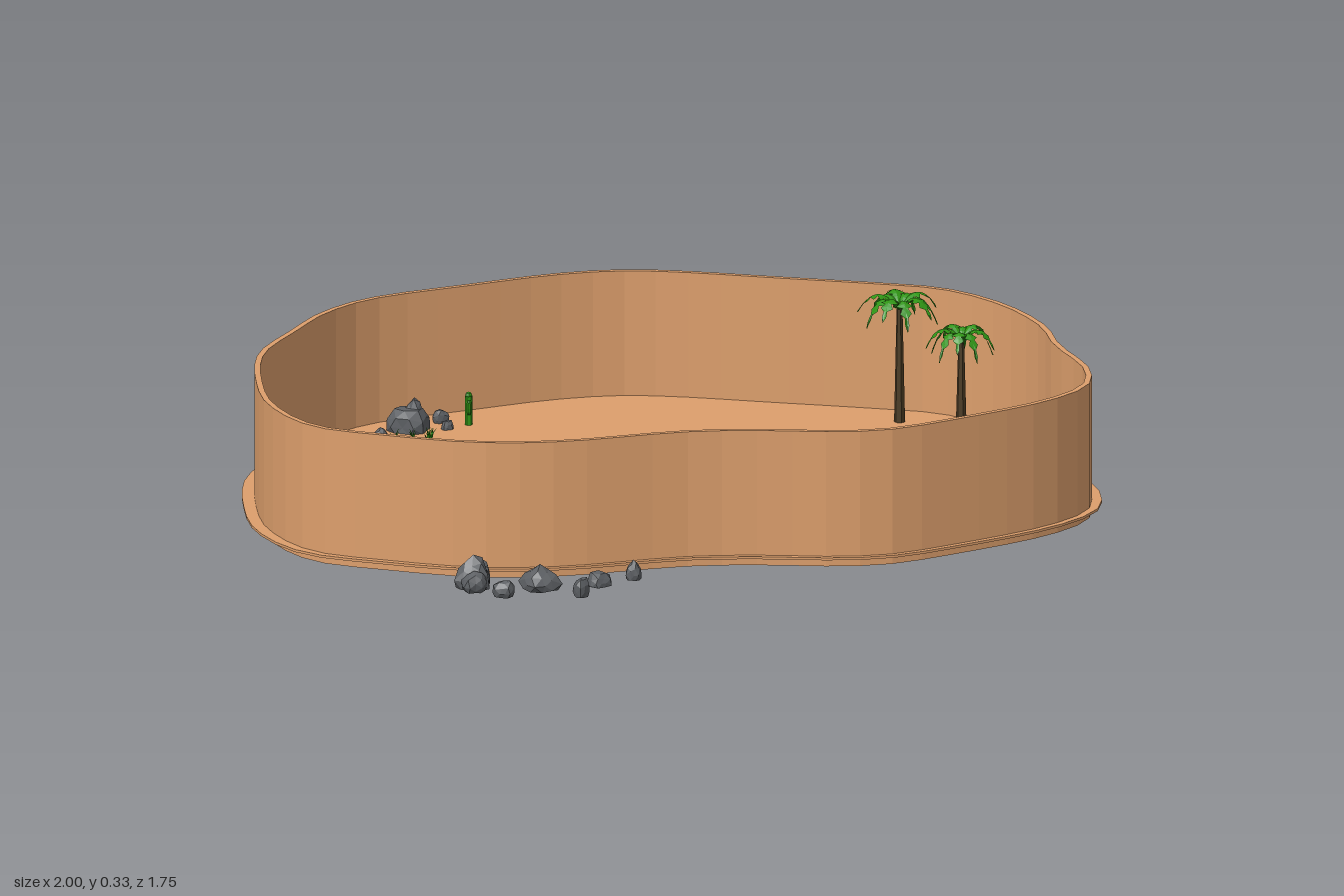
import * as THREE from 'three';

const material = (color, extra = {}) => new THREE.MeshStandardMaterial({ color, ...extra });
const sand = material(0xdd9f6c, { flatShading: true });
const stone = material(0x5c5f63, { flatShading: true });
const leaf = material(0x2f9414, { flatShading: true, side: THREE.DoubleSide });
const bark = material(0x4a3a22, { flatShading: true });

const GROUND = 0.024;

// Plan outline as [x, z], running back, left, front, right
const OUTLINE = [
  [0.06, -0.88], [-0.18, -0.855], [-0.45, -0.81], [-0.6, -0.72], [-0.72, -0.59],
  [-0.86, -0.42], [-0.95, -0.19], [-1, 0.06], [-0.96, 0.27], [-0.82, 0.41],
  [-0.64, 0.54], [-0.45, 0.6], [-0.13, 0.615], [0.03, 0.66], [0.17, 0.72],
  [0.31, 0.75], [0.51, 0.71], [0.78, 0.615], [0.91, 0.51], [0.97, 0.35],
  [0.975, 0.13], [1, -0.05], [0.97, -0.27], [0.88, -0.45], [0.73, -0.56],
  [0.54, -0.68], [0.35, -0.8], [0.22, -0.86],
];
const curve = new THREE.CatmullRomCurve3(OUTLINE.map(([x, z]) => new THREE.Vector3(x, 0, z)), true);

function seeded(seed) {
  return () => {
    seed = (seed * 16807) % 2147483647;
    return seed / 2147483647;
  };
}

function mesh(name, geometry, mat) {
  const m = new THREE.Mesh(geometry, mat);
  m.name = name;
  return m;
}

// Outline moved inward along its normal, in shape space (shape y = -z)
function insetPoints(inset) {
  return Array.from({ length: 72 }, (_, i) => {
    const p = curve.getPointAt(i / 72);
    const t = curve.getTangentAt(i / 72);
    const d = inset(t.x);
    return new THREE.Vector2(p.x + t.z * d, -(p.z - t.x * d));
  });
}

function extrudeUp(shape, depth) {
  return new THREE.ExtrudeGeometry(shape, { depth, bevelEnabled: false }).rotateX(-Math.PI / 2);
}

// Faceted boulder with a flat base
function rock(x, z, radius, height, seed) {
  const rnd = seeded(seed * 7919 + 13);
  const phase = [rnd() * 6, rnd() * 6, rnd() * 6];
  const geo = new THREE.IcosahedronGeometry(1, 1);
  const pos = geo.attributes.position;
  const v = new THREE.Vector3();
  for (let i = 0; i < pos.count; i++) {
    v.fromBufferAttribute(pos, i);
    const bump = 1 + 0.09 * (Math.sin(4 * v.x + phase[0]) + Math.sin(5 * v.z + phase[1]) + Math.sin(3 * v.y + phase[2]));
    v.multiplyScalar(bump);
    v.y = Math.max(v.y, -0.4);
    pos.setXYZ(i, v.x * radius, ((v.y + 0.4) / 1.45) * height, v.z * radius);
  }
  geo.computeVertexNormals();
  const m = mesh('rock', geo, stone);
  m.position.set(x, GROUND - 0.003, z);
  m.rotation.y = rnd() * 6;
  return m;
}

// Arching frond along +x with a toothed edge
function frondGeometry(length, rise, droop) {
  const n = 12, verts = [], index = [];
  for (let i = 0; i <= n; i++) {
    const t = i / n;
    const y = rise * Math.sin(t * Math.PI * 0.75) - droop * t * t;
    const w = length * 0.24 * Math.sin(Math.PI * Math.min(1, t * 0.88 + 0.12)) * (i % 2 ? 1 : 0.4);
    verts.push(length * t, y - w * 0.3, -w, length * t * 0.97, y, 0, length * t, y - w * 0.3, w);
    if (i < n) {
      const a = i * 3;
      for (const k of [a, a + 1]) index.push(k, k + 1, k + 3, k + 1, k + 4, k + 3);
    }
  }
  const geo = new THREE.BufferGeometry();
  geo.setAttribute('position', new THREE.Float32BufferAttribute(verts, 3));
  geo.setIndex(index);
  geo.computeVertexNormals();
  return geo;
}

function palm(x, z, crown, radius, count, turn) {
  const g = new THREE.Group();
  g.name = 'palm';
  const trunk = mesh('palmTrunk', new THREE.CylinderGeometry(0.007, 0.013, crown - GROUND, 6), bark);
  trunk.position.y = (crown + GROUND) / 2;
  g.add(trunk);
  for (let i = 0; i < count; i++) {
    const r = radius * (i % 2 ? 0.9 : 1);
    const frond = mesh('palmFrond', frondGeometry(r, 0.05, i % 2 ? 0.07 : 0.045), leaf);
    frond.position.y = crown;
    frond.rotation.y = turn + (i * 2 * Math.PI) / count;
    g.add(frond);
  }
  g.position.set(x, 0, z);
  return g;
}

// Upright cactus with two bent arms
function cactus(x, z, turn) {
  const g = new THREE.Group();
  g.name = 'cactus';
  const limb = (pts, r) => {
    const path = new THREE.CatmullRomCurve3(pts.map(([a, b]) => new THREE.Vector3(a, b, 0)));
    g.add(mesh('cactusLimb', new THREE.TubeGeometry(path, 6, r, 6), leaf));
    const tip = mesh('cactusTip', new THREE.SphereGeometry(r, 6, 4), leaf);
    tip.position.set(pts.at(-1)[0], pts.at(-1)[1], 0);
    g.add(tip);
  };
  limb([[0, 0], [0, 0.035], [0, 0.07]], 0.009);
  limb([[0, 0.022], [0.02, 0.026], [0.025, 0.055]], 0.006);
  limb([[0, 0.03], [-0.018, 0.034], [-0.024, 0.06]], 0.006);
  g.position.set(x, GROUND, z);
  g.rotation.y = turn;
  return g;
}

// Scattered little blades of grass
function grass(x, z, seed) {
  const g = new THREE.Group();
  g.name = 'grassTuft';
  const rnd = seeded(seed * 331 + 5);
  for (let i = 0; i < 9; i++) {
    const bx = (rnd() - 0.5) * 0.09, bz = (rnd() - 0.5) * 0.07;
    for (let k = 0; k < 3; k++) {
      const h = 0.02 + rnd() * 0.012;
      const blade = mesh('grassBlade', new THREE.ConeGeometry(0.0028, h, 3).translate(0, h / 2, 0), leaf);
      blade.position.set(bx, 0, bz);
      blade.rotation.set((rnd() - 0.5) * 1.1, 0, (rnd() - 0.5) * 1.1);
      g.add(blade);
    }
  }
  g.position.set(x, GROUND, z);
  return g;
}

export function createModel() {
  const model = new THREE.Group();
  model.name = 'desertArena';

  // Sand floor, reaching past the wall as a thin lip
  const floor = mesh('sandFloor', extrudeUp(new THREE.Shape(insetPoints(() => 0)), 0.006), sand);
  floor.position.y = GROUND - 0.006;
  model.add(floor);

  // Perimeter wall; the lip is narrower along the front
  const lip = (front) => 0.029 - 0.016 * Math.max(0, front);
  const wallShape = new THREE.Shape(insetPoints(lip));
  wallShape.holes.push(new THREE.Path(insetPoints((f) => lip(f) + 0.014)));
  model.add(mesh('wall', extrudeUp(wallShape, 0.324), sand));

  // Rocks: x, z, radius, height
  const rocks = [
    [-0.69, 0.69, 0.042, 0.078], [-0.7, 0.725, 0.03, 0.05], [-0.665, 0.67, 0.022, 0.06],
    [-0.548, 0.755, 0.045, 0.058], [-0.65, 0.795, 0.024, 0.04], [-0.41, 0.77, 0.03, 0.036],
    [-0.315, 0.745, 0.019, 0.048], [-0.48, 0.85, 0.02, 0.046],
    [0.56, -0.825, 0.04, 0.078], [0.59, -0.805, 0.028, 0.05], [0.54, -0.8, 0.024, 0.045],
    [0.73, -0.855, 0.026, 0.05], [0.745, -0.695, 0.028, 0.068],
    [-0.365, -0.695, 0.052, 0.06], [-0.35, -0.7, 0.028, 0.085], [-0.275, -0.735, 0.02, 0.035],
    [-0.28, -0.67, 0.015, 0.025], [-0.455, -0.64, 0.018, 0.03],
    [-0.82, -0.105, 0.05, 0.06], [-0.76, -0.157, 0.02, 0.035], [-0.845, -0.045, 0.024, 0.03],
    [-0.8, -0.018, 0.02, 0.025],
    [0.85, 0.275, 0.038, 0.055], [0.815, 0.41, 0.05, 0.085], [0.835, 0.45, 0.034, 0.055],
    [0.68, 0.45, 0.025, 0.04],
  ];
  rocks.forEach(([x, z, r, h], i) => model.add(rock(x, z, r, h, i + 1)));

  // Plants
  model.add(palm(0.735, -0.385, 0.295, 0.1, 10, 0.2), palm(0.845, -0.265, 0.235, 0.085, 10, 0.5));
  model.add(cactus(-0.22, -0.69, 1.3), cactus(-0.7, -0.29, 0.9));
  model.add(grass(-0.385, -0.595, 1), grass(-0.7, -0.285, 2), grass(0.715, 0.385, 3));

  return model;
}
